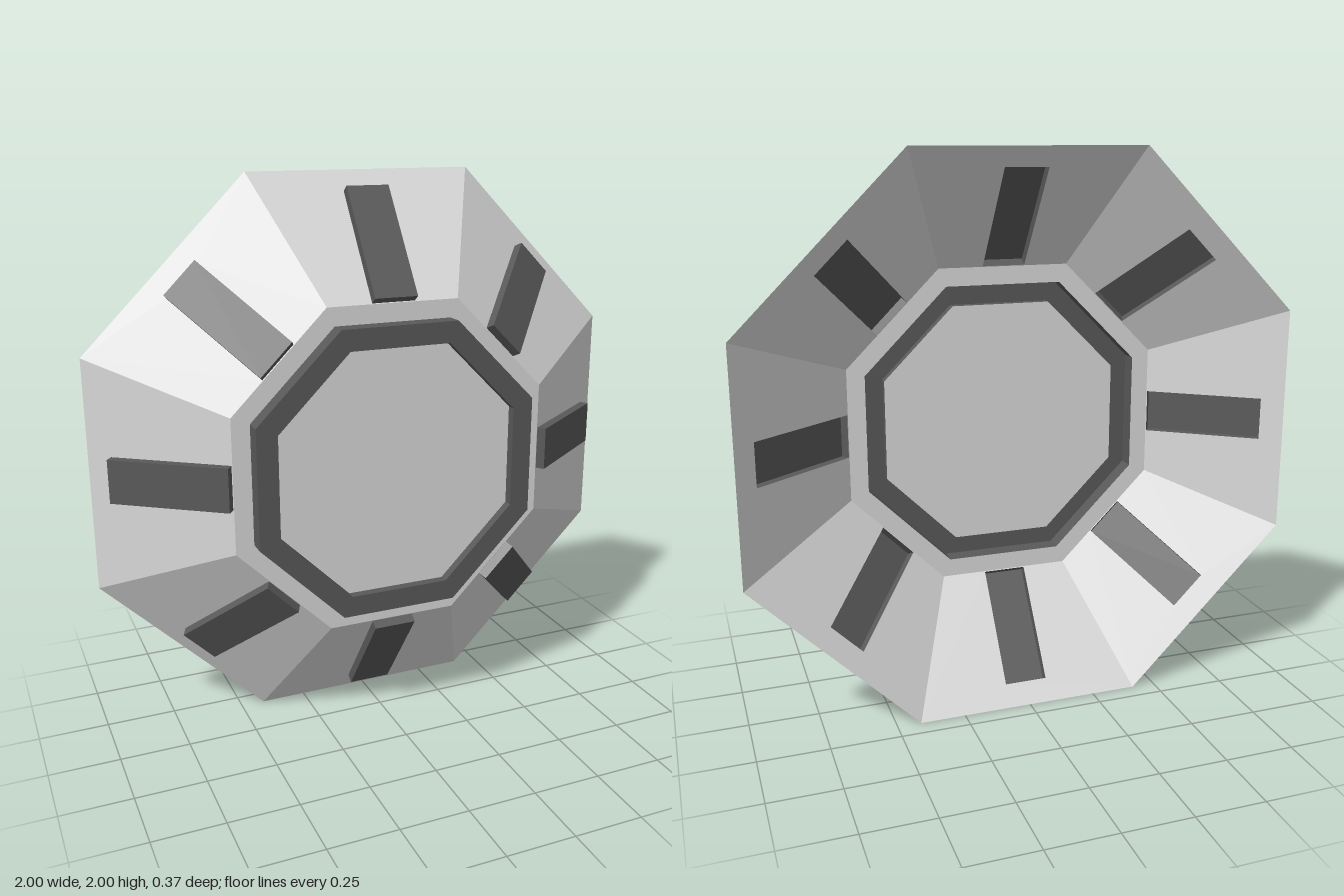
import * as THREE from 'three';

const SIDES = 8;
const BACK_Z = -0.184, RIM_Z = 0.12, DISC_Z = 0.15, RING_Z = 0.184;
const OUTER = 1, INNER = 0.58;          // apothems of the sloped shell
const RING_OUT = 0.515, RING_IN = 0.44; // apothems of the raised ring
const RIB = { half: 0.078, start: 0.003, end: 0.433, height: 0.033 };

const corner = (apothem) => apothem / Math.cos(Math.PI / SIDES);
const halfSide = (apothem) => apothem * Math.tan(Math.PI / SIDES);

function polygon(points, Type = THREE.Shape) {
  return new Type(points.map(([x, y]) => new THREE.Vector2(x, y)));
}

// Sloped trapezoid with an opening behind its rib
function panelGeometry(length) {
  const a = halfSide(INNER), b = halfSide(OUTER);
  const panel = polygon([[-a, 0], [a, 0], [b, length], [-b, length]]);
  panel.holes.push(polygon([
    [-RIB.half, RIB.start], [-RIB.half, RIB.end], [RIB.half, RIB.end], [RIB.half, RIB.start],
  ], THREE.Path));
  return new THREE.ShapeGeometry(panel);
}

// Hollow rib: a box whose back face is left off
function ribGeometry() {
  const box = new THREE.BoxGeometry(RIB.half * 2, RIB.end - RIB.start, RIB.height);
  box.setIndex(Array.from(box.index.array).slice(0, 30));
  box.clearGroups();
  box.translate(0, (RIB.start + RIB.end) / 2, RIB.height / 2);
  return box;
}

// Hollow octagonal channel, open at the back, stepping down to the centre plate
function ringGeometry() {
  const profile = [[RING_OUT, RIM_Z], [RING_OUT, RING_Z], [RING_IN, RING_Z], [RING_IN, DISC_Z]]
    .map(([r, z]) => new THREE.Vector2(corner(r), z));
  const ring = new THREE.LatheGeometry(profile, SIDES, Math.PI / SIDES).rotateX(Math.PI / 2).toNonIndexed();
  ring.computeVertexNormals();
  return ring;
}

export function createModel() {
  const model = new THREE.Group();
  model.name = 'octagonalDish';
  const makeMaterial = (name, color) => {
    const material = new THREE.MeshStandardMaterial({ color, side: THREE.DoubleSide, flatShading: true });
    material.name = name;
    return material;
  };
  const light = makeMaterial('light grey', 0xdadada);
  const dark = makeMaterial('dark grey', 0x595959);

  const add = (parent, name, geometry, material) => {
    const mesh = new THREE.Mesh(geometry, material);
    mesh.name = name;
    parent.add(mesh);
    return mesh;
  };

  const body = new THREE.Group();
  body.name = 'body';
  body.position.y = 1;
  model.add(body);

  // Eight sloped panels, each with a raised rib
  const drop = BACK_Z - RIM_Z, run = OUTER - INNER;
  const panel = panelGeometry(Math.hypot(drop, run));
  const rib = ribGeometry();
  for (let i = 0; i < SIDES; i++) {
    const sector = new THREE.Group();
    sector.name = 'sector' + (i + 1);
    sector.rotation.z = (i * 2 * Math.PI) / SIDES;
    const slope = new THREE.Group();
    slope.name = 'slope';
    slope.position.set(0, INNER, RIM_Z);
    slope.rotation.x = Math.atan2(drop, run);
    add(slope, 'panel', panel, light);
    add(slope, 'rib', rib, dark);
    sector.add(slope);
    body.add(sector);
  }

  // Flat front: rim, raised ring and centre plate
  const turn = Math.PI / SIDES;
  add(body, 'rim', new THREE.RingGeometry(corner(RING_OUT), corner(INNER), SIDES, 1, turn), light).position.z = RIM_Z;
  add(body, 'raisedRing', ringGeometry(), dark);
  add(body, 'centrePlate', new THREE.CircleGeometry(corner(RING_IN), SIDES, turn), light).position.z = DISC_Z;

  return model;
}
